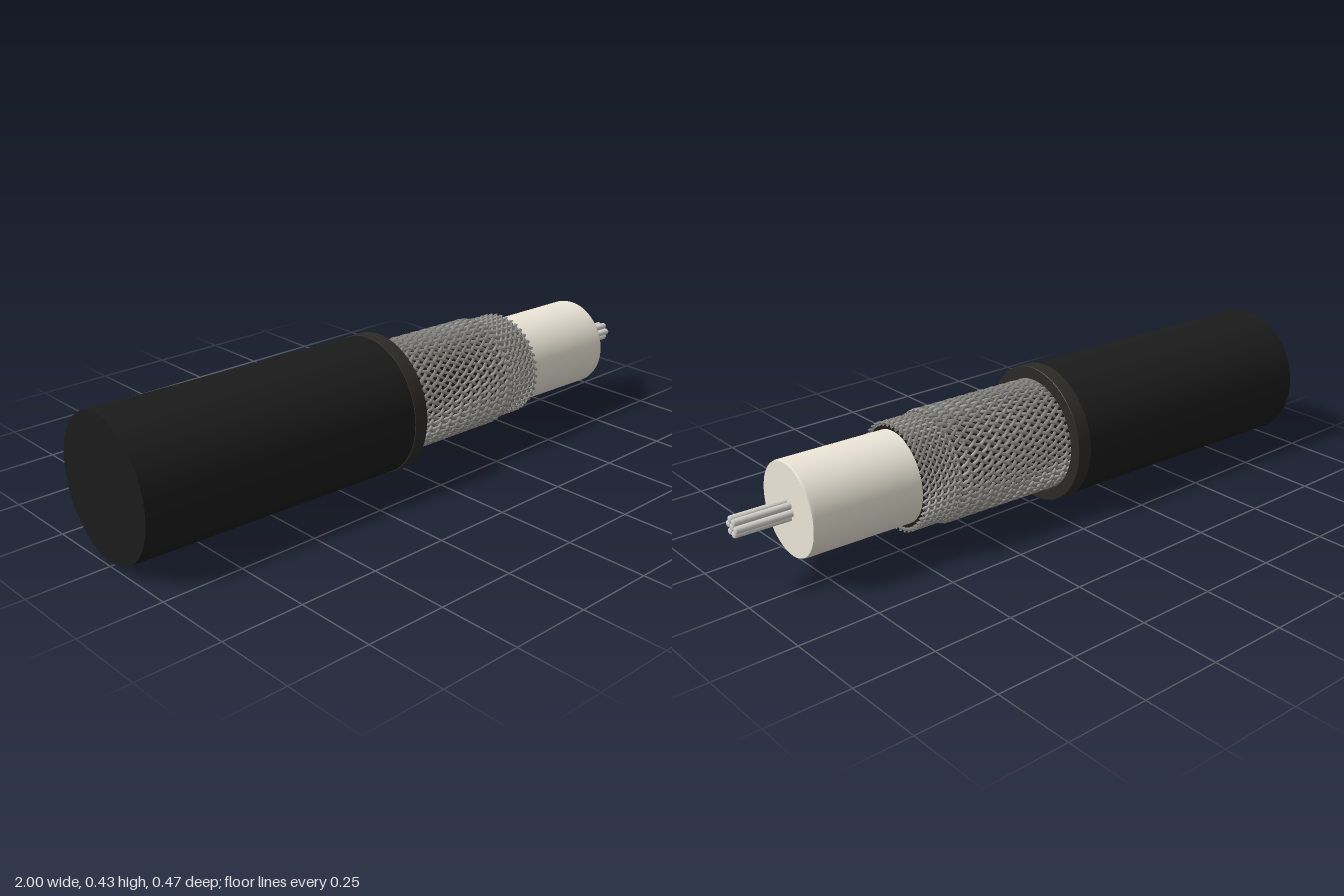
import * as THREE from 'three';
import { mergeGeometries } from 'three/addons/utils/BufferGeometryUtils.js';

const material = (color, side = THREE.FrontSide) => new THREE.MeshStandardMaterial({ color, side });

// Everything is turned or wound around the local x axis.
function turned(name, profile, mat, segments = 72) {
  const points = profile.map(([r, x]) => new THREE.Vector2(r, x));
  const geometry = new THREE.LatheGeometry(points, segments).rotateZ(-Math.PI / 2);
  const mesh = new THREE.Mesh(geometry, mat);
  mesh.name = name;
  return mesh;
}

// One braid wire: a helix that rises and dips over the wires it crosses.
class BraidCurve extends THREE.Curve {
  constructor(options) {
    super();
    Object.assign(this, options);
  }
  getPoint(t, target = new THREE.Vector3()) {
    const { start, end, radius, twist, count, wave, dir } = this;
    const x = start + (end - start) * t;
    const r = radius + dir * wave * Math.cos(count * twist * x);
    const a = dir * twist * x;
    return target.set(x, r * Math.cos(a), r * Math.sin(a));
  }
}

// Two opposed sets of wires woven into a sleeve.
function braid(name, options, mat) {
  const { start, end, twist, count, wire } = options;
  const steps = Math.round((end - start) * count * twist / Math.PI * 3);
  const wires = [];
  for (const dir of [-1, 1]) {
    const curve = new BraidCurve({ ...options, dir });
    const one = new THREE.TubeGeometry(curve, steps, wire, 4);
    for (let i = 0; i < count; i++) wires.push(one.clone().rotateX(i * 2 * Math.PI / count));
  }
  const mesh = new THREE.Mesh(mergeGeometries(wires), mat);
  mesh.name = name;
  return mesh;
}

export function createModel() {
  const model = new THREE.Group();
  model.name = 'coaxialCable';
  const cable = new THREE.Group();
  cable.name = 'cable';
  cable.position.set(0, 0.217, 0.0215);
  cable.rotation.y = -0.0436;
  model.add(cable);

  const black = material(0x1b1b1b);
  const collarBlack = material(0x2b2a27);
  const foil = material(0x1c1b19);
  const cream = material(0xece7d8);
  const metal = material(0x8c8b86, THREE.DoubleSide);
  const bright = material(0xd6d4ce);

  // Outer jacket with a closed back end
  cable.add(turned('jacket', [[0, -0.99], [0.214, -0.99], [0.214, -0.99], [0.214, -0.07], [0.17, -0.07]], black));

  // Cut rim of the jacket
  cable.add(turned('jacketCollar', [
    [0.21, -0.085], [0.217, -0.083], [0.217, -0.083], [0.217, -0.039], [0.215, -0.037],
    [0.215, -0.037], [0.178, -0.037], [0.178, -0.037], [0.178, -0.075],
  ], collarBlack));

  // Dark liner under the braid
  cable.add(turned('liner', [
    [0.164, -0.08], [0.164, 0.355], [0.154, 0.355], [0.154, 0.355], [0.154, 0.478], [0.154, 0.478], [0.14, 0.478],
  ], foil));

  // Shield: a coarse outer braid and a finer inner braid
  cable.add(braid('outerBraid', {
    start: -0.06, end: 0.367, radius: 0.1685, twist: 3.6, count: 44, wave: 0.0035, wire: 0.006,
  }, metal));
  cable.add(braid('innerBraid', {
    start: 0.32, end: 0.485, radius: 0.16, twist: 6.5, count: 44, wave: 0.0035, wire: 0.0048,
  }, metal));

  // Insulating core
  cable.add(turned('insulator', [[0.142, 0.3], [0.142, 0.82], [0.14, 0.827], [0.14, 0.827], [0, 0.827]], cream));

  // Conductor: one centre strand with six around it
  const conductor = new THREE.Group();
  conductor.name = 'conductor';
  const strandProfile = [[0.0105, 0.8], [0.0105, 0.994], [0.008, 0.998], [0, 0.998]];
  for (let i = 0; i < 7; i++) {
    const strand = turned('strand', strandProfile, bright, 16);
    const a = i * Math.PI / 3 + 0.1;
    if (i > 0) strand.position.set(0, 0.0215 * Math.sin(a), 0.0215 * Math.cos(a));
    conductor.add(strand);
  }
  cable.add(conductor);

  return model;
}
